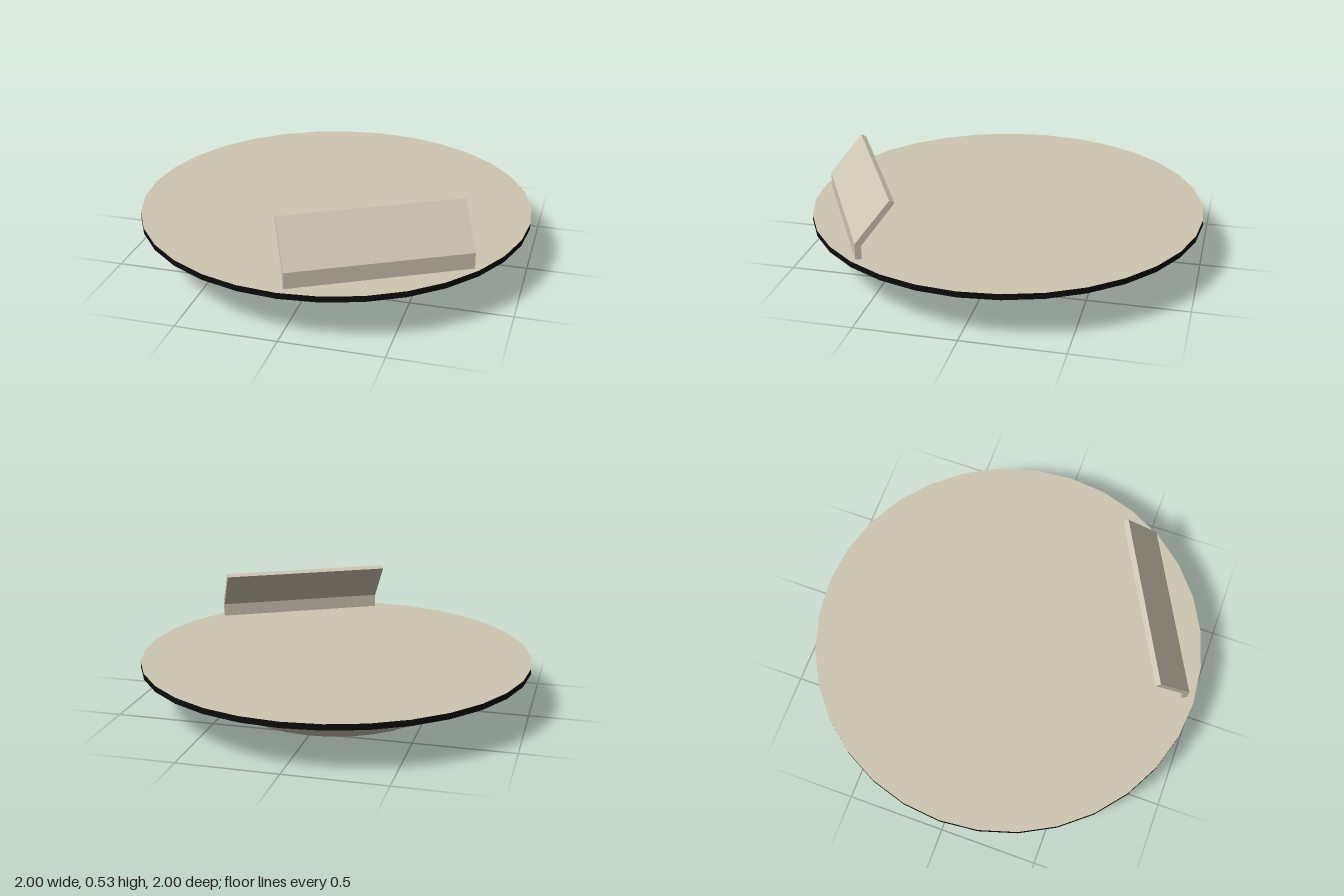
import * as THREE from 'three';

const SIDES = 32;

export function createModel() {
  const group = new THREE.Group();
  const stone = new THREE.MeshStandardMaterial({ color: 0xcdc6b2, flatShading: true });
  const black = new THREE.MeshStandardMaterial({ color: 0x0c0c0c, flatShading: true });

  const add = (name, geometry, material) => {
    const mesh = new THREE.Mesh(geometry, material);
    mesh.name = name;
    group.add(mesh);
    return mesh;
  };

  // Faceted dish: flat underside and two flaring bands
  const dishProfile = [[0, 0], [0.53, 0], [0.74, 0.11], [1, 0.22]]
    .map(([r, y]) => new THREE.Vector2(r, y));
  add('dishUnderside', new THREE.LatheGeometry(dishProfile, SIDES), stone);

  // Thin dark band around the edge
  const rim = add('rimBand', new THREE.CylinderGeometry(1, 1, 0.03, SIDES, 1, true), black);
  rim.position.y = 0.235;

  // Flat deck on top
  const deck = add('deck', new THREE.CircleGeometry(1, SIDES), stone);
  deck.rotation.x = -Math.PI / 2;
  deck.position.y = 0.25;

  // Bent panel: short upright foot, then a slab leaning towards the middle
  const panelProfile = new THREE.Shape([
    [0, 0.25], [0, 0.33], [-0.17, 0.53], [-0.195, 0.517], [-0.03, 0.318], [-0.03, 0.25],
  ].map(([x, y]) => new THREE.Vector2(x, y)));
  const panel = add('bentPanel',
    new THREE.ExtrudeGeometry(panelProfile, { depth: 0.895, bevelEnabled: false }), stone);
  panel.position.set(0.81, 0, 0.54);
  panel.rotation.y = -THREE.MathUtils.degToRad(62);

  return group;
}
